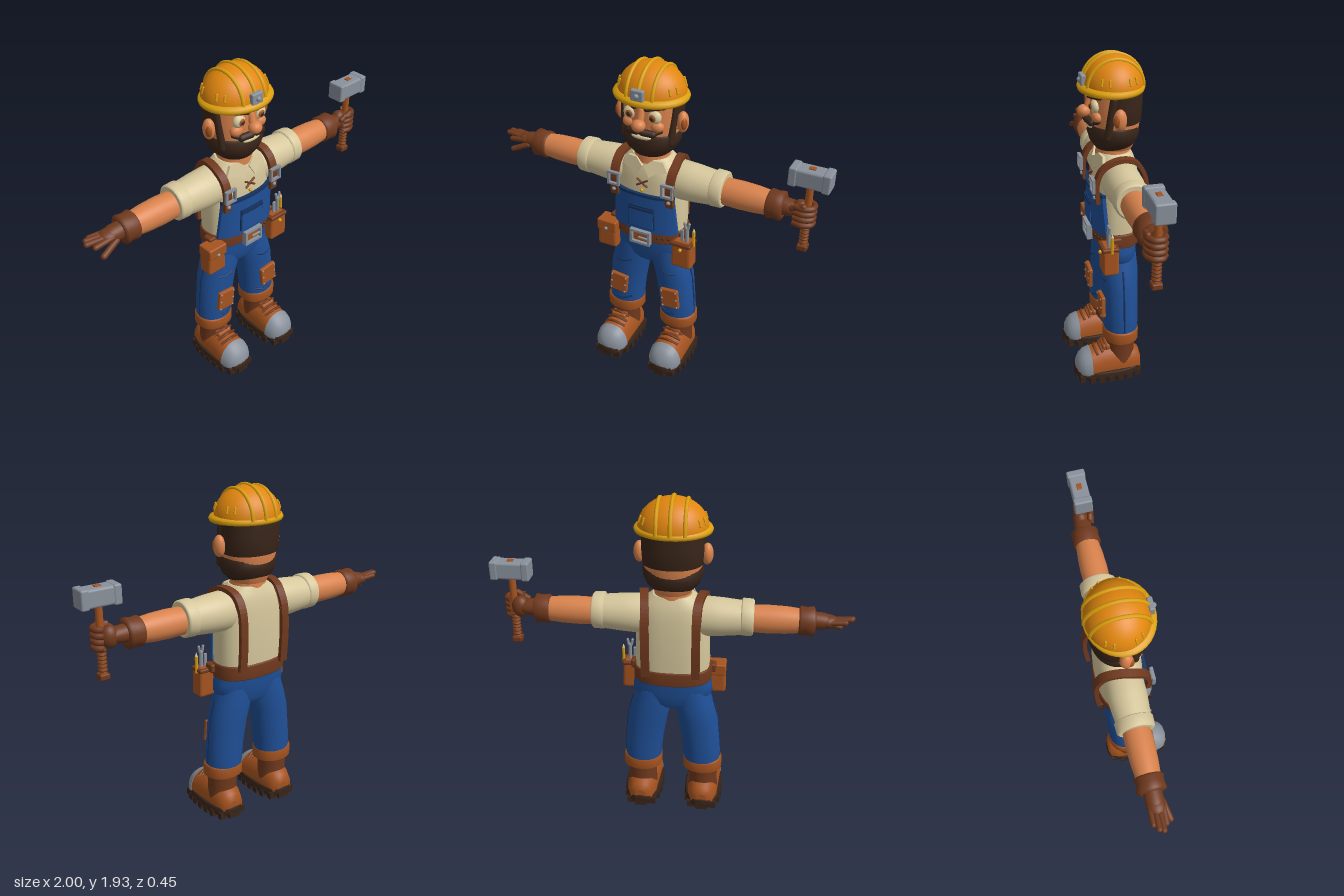
import * as THREE from 'three';
import { RoundedBoxGeometry } from 'three/addons/geometries/RoundedBoxGeometry.js';

const paint = (name, color) => Object.assign(new THREE.MeshStandardMaterial({ color }), { name });
const V = (p) => new THREE.Vector3(...p);

// Skin over elliptical sections stacked along y; rows are [y, rx, rz, cx, cz], ascending
function loft(rows, n = 2, cz0 = 0, seg = 36) {
  const pos = [], idx = [];
  const ring = ([y, rx, rz, cx = 0, cz = cz0]) => {
    for (let j = 0; j < seg; j++) {
      const a = (j / seg) * Math.PI * 2, c = Math.cos(a), s = Math.sin(a);
      pos.push(cx + rx * Math.sign(c) * Math.abs(c) ** (2 / n), y, cz + rz * Math.sign(s) * Math.abs(s) ** (2 / n));
    }
  };
  rows.forEach(ring);
  for (let i = 0; i < rows.length - 1; i++) for (let j = 0; j < seg; j++) {
    const a = i * seg + j, c = i * seg + ((j + 1) % seg), b = a + seg, d = c + seg;
    idx.push(a, b, c, c, b, d);
  }
  [rows[0], rows[rows.length - 1]].forEach((r, top) => {
    const start = pos.length / 3;
    ring(r);
    pos.push(r[3] ?? 0, r[0], r[4] ?? cz0);
    for (let j = 0; j < seg; j++) {
      const k = start + j, l = start + ((j + 1) % seg);
      idx.push(start + seg, top ? l : k, top ? k : l);
    }
  });
  const g = new THREE.BufferGeometry();
  g.setAttribute('position', new THREE.Float32BufferAttribute(pos, 3));
  g.setIndex(idx);
  g.computeVertexNormals();
  return g;
}

function bend(g, rule) {
  const p = g.attributes.position, v = new THREE.Vector3();
  for (let i = 0; i < p.count; i++) { rule(v.fromBufferAttribute(p, i)); p.setXYZ(i, v.x, v.y, v.z); }
  g.computeVertexNormals();
  return g;
}
function capsule(a, b, r) {
  const A = V(a), d = V(b).sub(A), g = new THREE.CapsuleGeometry(r, d.length(), 6, 14);
  g.applyQuaternion(new THREE.Quaternion().setFromUnitVectors(new THREE.Vector3(0, 1, 0), d.clone().normalize()));
  const m = A.addScaledVector(d, 0.5);
  return g.translate(m.x, m.y, m.z);
}
const ball = (p, r) => new THREE.SphereGeometry(1, 24, 16).scale(...(r.length ? r : [r, r, r])).translate(...p);
const box = (p, s, r = 0.008) => new RoundedBoxGeometry(...s, 2, r).translate(...p);
const tube = (pts, r) => new THREE.TubeGeometry(new THREE.CatmullRomCurve3(pts.map(V)), 32, r, 8);
function frame(p, w, h, t, d) {
  const rect = (S, x, y) => new S().moveTo(-x, -y).lineTo(x, -y).lineTo(x, y).lineTo(-x, y).closePath();
  const s = rect(THREE.Shape, w / 2, h / 2);
  s.holes.push(rect(THREE.Path, w / 2 - t, h / 2 - t));
  return new THREE.ExtrudeGeometry(s, { depth: d, bevelEnabled: false }).translate(...p);
}

export function createModel() {
  const skin = paint('skin', 0xd9824c), cream = paint('cream cloth', 0xd6c79c), blue = paint('denim', 0x1f4f96),
    navy = paint('dark denim', 0x15325f), leather = paint('leather', 0xa5531f), dark = paint('dark leather', 0x70391d),
    hair = paint('dark brown', 0x392519), steel = paint('steel', 0x89919b), orange = paint('helmet orange', 0xe0860e),
    gold = paint('gold', 0xdb9f0c);
  const model = new THREE.Group(), body = new THREE.Group();
  body.name = 'worker'; body.position.x = -0.012; model.add(body);
  const add = (name, g, mat) => { const m = new THREE.Mesh(g, mat); m.name = name; body.add(m); return m; };

  // Torso, pelvis, neck
  add('shirt', loft([[0.88, 0.205, 0.125], [1, 0.211, 0.13], [1.15, 0.206, 0.13], [1.25, 0.2, 0.125], [1.31, 0.185, 0.118],
    [1.35, 0.155, 0.105], [1.385, 0.11, 0.09]], 2.5, -0.058), cream);
  add('trouserSeat', loft([[0.69, 0.1, 0.08], [0.72, 0.19, 0.1], [0.78, 0.228, 0.11], [0.83, 0.226, 0.115], [0.9, 0.21, 0.122]], 2.3, -0.06), blue);
  add('belt', loft([[0.86, 0.216, 0.13], [0.868, 0.222, 0.137], [0.937, 0.222, 0.137], [0.945, 0.216, 0.13]], 2.4, -0.06), dark);
  add('neck', loft([[1.34, 0.105, 0.1], [1.44, 0.1, 0.095]], 2, -0.055), skin);

  // Bib curved round the chest, with hem and pocket
  const onChest = (g) => bend(g, (v) => {
    v.x *= 1 - 0.45 * Math.max(0, v.y - 0.94);
    v.z += -0.058 + 0.135 * (1 - Math.min(1, Math.abs(v.x / 0.225)) ** 2.5) ** 0.4;
  });
  const chestPlate = (name, y, w, h, d, z, mat) => add(name, onChest(new THREE.BoxGeometry(w, h, d, 20, 4, 1).translate(0, y, z)), mat);
  chestPlate('bib', 1.06, 0.4, 0.245, 0.02, 0, blue);
  chestPlate('bibHem', 1.175, 0.404, 0.016, 0.024, 0.001, navy);
  chestPlate('pocketSeam', 1.035, 0.172, 0.14, 0.012, 0.011, navy);
  chestPlate('pocket', 1.033, 0.158, 0.124, 0.016, 0.013, blue);
  chestPlate('pocketHem', 1.088, 0.164, 0.016, 0.018, 0.014, navy);
  // Belt buckle, belt holes, shirt lacing
  add('beltBuckle', frame([0, 0.903, 0.08], 0.125, 0.09, 0.014, 0.03), steel);
  add('buckleLeather', box([0, 0.903, 0.08], [0.1, 0.07, 0.025]), leather);
  add('bucklePin', box([0.02, 0.903, 0.105], [0.06, 0.012, 0.012], 0.004), steel);
  for (const x of [0.095, 0.125, 0.155]) add('beltHole', ball([x, 0.903, 0.071 - (x - 0.095) * 0.35], 0.008), hair);
  for (const s of [-1, 1]) add('lace', capsule([-0.03 * s, 1.232, 0.075], [0.03 * s, 1.268, 0.07], 0.006), dark);
  add('shirtButton', ball([0, 1.205, 0.076], 0.01), gold);

  // Shoulder strap profile in the side plane
  const line = new THREE.CatmullRomCurve3([[0.06, 1.14], [0.066, 1.25], [0.04, 1.32], [-0.01, 1.355], [-0.08, 1.362], [-0.14, 1.34],
    [-0.185, 1.27], [-0.199, 1.15], [-0.197, 1.05], [-0.188, 0.93]].map(([z, y]) => new THREE.Vector3(z, y, 0)));
  const inner = line.getPoints(40), outer = inner.map((p, i) => {
    const t = line.getTangent(i / 40);
    return new THREE.Vector2(p.x + t.y * 0.024, p.y - t.x * 0.024);
  });
  const strapShape = new THREE.Shape([...inner.map((p) => new THREE.Vector2(p.x, p.y)), ...outer.reverse()]);

  for (const s of [-1, 1]) {
    const side = s > 0 ? 'left' : 'right', sided = (name, g, mat) => add(side + name, g, mat);
    // Straps, buckles, collar
    sided('Strap', bend(new THREE.ExtrudeGeometry(strapShape, { depth: 0.046, bevelEnabled: false }).rotateY(-Math.PI / 2)
      .translate(0.023 + s * 0.17, 0, 0), (v) => { v.x -= s * 0.03 * Math.min(1, Math.max(0, -v.z / 0.18)); }).toNonIndexed(), dark).geometry.computeVertexNormals();
    sided('StrapBuckle', frame([s * 0.165, 1.25, 0.09], 0.074, 0.082, 0.012, 0.018), steel);
    sided('StrapRivet', ball([s * 0.17, 1.175, 0.088], 0.012), steel);
    const wing = new THREE.Shape([[0.006, 1.35], [0.04, 1.29], [0.075, 1.315], [0.135, 1.325], [0.105, 1.38], [0.05, 1.385]]
      .map(([x, y]) => new THREE.Vector2(x * s, y)));
    sided('Collar', bend(new THREE.ExtrudeGeometry(wing, { depth: 0.016, bevelEnabled: false }),
      (v) => { v.z += 0.066 - (v.y - 1.29) * 0.3 - Math.abs(v.x) * 0.25; }), cream);

    // Sleeve, arm and glove cuff along the x axis
    const limb = (name, rows, mat, y = 1.25) => sided(name, loft(rows).rotateZ(-s * Math.PI / 2).translate(0, y, -0.06), mat);
    limb('Sleeve', [[0.11, 0.09, 0.09], [0.17, 0.113, 0.108], [0.27, 0.107, 0.106], [0.4, 0.094, 0.095]], cream, 1.252);
    limb('SleeveCuff', [[0.375, 0.094, 0.095], [0.382, 0.104, 0.105], [0.436, 0.102, 0.103], [0.444, 0.093, 0.093]], cream, 1.257);
    limb('Forearm', [[0.42, 0.076, 0.074], [0.53, 0.079, 0.077], [0.62, 0.076, 0.073], [0.71, 0.066, 0.064]], skin);
    limb('GloveCuff', [[0.685, 0.07, 0.07], [0.695, 0.082, 0.08], [0.73, 0.077, 0.075], [0.765, 0.083, 0.08], [0.775, 0.06, 0.06]], dark);
    limb('Wrist', [[0.76, 0.05, 0.05], [0.82, 0.045, 0.05], [0.85, 0.034, 0.042]], dark, 1.255);

    // Leg, cuff, knee patch, creases
    sided('Leg', loft([[0.28, 0.104, 0.095, s * 0.177], [0.36, 0.11, 0.1, s * 0.175], [0.45, 0.111, 0.1, s * 0.167], [0.6, 0.117, 0.104, s * 0.147],
      [0.7, 0.116, 0.108, s * 0.121], [0.8, 0.1, 0.1, s * 0.105]], 2.1, -0.062), blue);
    sided('TrouserCuff', loft([[0.25, 0.105, 0.092], [0.257, 0.115, 0.103], [0.317, 0.115, 0.103], [0.325, 0.105, 0.092]], 2.2, -0.06).translate(s * 0.18, 0, 0), leather);
    const patch = new THREE.Group();
    patch.name = side + 'KneePatch'; patch.position.set(s * 0.172, 0.482, 0.052); patch.rotation.z = s * 0.1;
    patch.add(new THREE.Mesh(box([0, 0, 0], [0.115, 0.13, 0.026]), leather));
    for (const x of [-1, 1]) for (const y of [-1, 0, 1]) patch.add(new THREE.Mesh(ball([x * 0.046, y * 0.052, 0.013], 0.006), steel));
    body.add(patch);
    const crease = (x0, y0, x1, y1, cx) => sided('Crease', tube([0, 0.5, 1].map((t) => {
      const x = x0 + (x1 - x0) * t;
      return [s * x, y0 + (y1 - y0) * t - 0.01 * Math.sin(t * 3.14), -0.06 + 0.104 * Math.sqrt(1 - ((x - cx) / 0.118) ** 2)];
    }), 0.005), navy);
    crease(0.09, 0.67, 0.2, 0.645, 0.135); crease(0.1, 0.375, 0.2, 0.36, 0.174);
    sided('SideSeam', tube([[s * 0.232, 0.72, -0.06], [s * 0.262, 0.6, -0.06], [s * 0.278, 0.45, -0.06], [s * 0.283, 0.33, -0.06]], 0.005), navy);

    // Boot: shaft, upper, toe cap, laces, treaded sole
    const fx = s * 0.185;
    sided('BootShaft', loft([[0.1, 0.088, 0.088], [0.18, 0.084, 0.084], [0.27, 0.09, 0.088]], 2, -0.058).translate(fx, 0, 0), dark);
    const shoe = (rows) => bend(loft(rows, 2.2).rotateX(Math.PI / 2), (v) => { v.y = Math.max(v.y + 0.065, 0.05); v.x += fx; });
    sided('BootUpper', shoe([[-0.18, 0.03, 0.04], [-0.168, 0.066, 0.085], [-0.12, 0.088, 0.12], [-0.03, 0.092, 0.14], [0.06, 0.096, 0.138], [0.13, 0.1, 0.118]]), leather);
    sided('ToeCap', shoe([[0.128, 0.103, 0.122], [0.165, 0.094, 0.108], [0.19, 0.078, 0.085], [0.208, 0.052, 0.055], [0.216, 0.015, 0.02]]), steel);
    sided('Tongue', box([fx, 0.205, 0.035], [0.1, 0.04, 0.05], 0.015), leather);
    [[0.19, 0.105], [0.205, 0.075], [0.225, 0.045]].forEach(([y, z]) => sided('BootLace',
      tube([[fx - 0.065, y - 0.02, z - 0.015], [fx, y + 0.008, z], [fx + 0.065, y - 0.02, z - 0.015]], 0.008), dark));
    sided('Sole', loft([[0.018, 0.105, 0.198], [0.03, 0.112, 0.204], [0.06, 0.112, 0.204], [0.07, 0.106, 0.198]], 2.6, 0.018).translate(fx, 0, 0), hair);
    for (let i = 0; i < 7; i++) for (const e of [-1, 1]) {
      const z = -0.15 + i * 0.056, w = 0.105 * (1 - Math.abs((z - 0.018) / 0.21) ** 2.6) ** (1 / 2.6);
      sided('Tread', new THREE.BoxGeometry(0.06, 0.042, 0.032).translate(fx + e * (w - 0.02), 0.021, z), hair);
    }
    for (const z of [-0.17, 0.205]) sided('EndTread', new THREE.BoxGeometry(0.07, 0.042, 0.03).translate(fx, 0.021, z), hair);

    // Tool pouch
    sided('Pouch', bend(box([0, 0, 0], [0.12, 0.17, 0.09], 0.016), (v) => { v.x *= 1 + v.y * -0.5; }).translate(s * 0.24, 0.828, 0.024), leather);
    sided('PouchFlap', box([s * 0.238, s > 0 ? 0.9 : 0.888, 0.026], [0.126, s > 0 ? 0.025 : 0.07, 0.1], 0.01), s > 0 ? dark : leather);
    sided('PouchStud', ball([s * 0.24, 0.872, 0.075], 0.011), s > 0 ? gold : steel);
    sided('PouchLoop', box([s * 0.215, 0.915, -0.02], [0.06, 0.05, 0.06], 0.01), dark);

    // Face and hair, one side at a time
    sided('Ear', ball([s * 0.182, 1.61, -0.048], [0.032, 0.06, 0.036]), skin);
    sided('EarInner', ball([s * 0.196, 1.61, -0.034], [0.017, 0.036, 0.024]), leather);
    sided('Sideburn', capsule([s * 0.15, 1.71, -0.022], [s * 0.138, 1.5, 0.008], 0.021), hair);
    sided('EyeWhite', ball([s * 0.072, 1.66, 0.062], [0.038, 0.037, 0.026]), cream);
    sided('Iris', ball([s * 0.069, 1.66, 0.081], [0.021, 0.021, 0.011]), leather);
    sided('Pupil', ball([s * 0.068, 1.66, 0.088], [0.012, 0.012, 0.008]), hair);
    sided('Eyebrow', capsule([s * 0.035, 1.708, 0.086], [s * 0.115, 1.718, 0.046], 0.014), hair);
    sided('Cheek', ball([s * 0.082, 1.603, 0.053], [0.038, 0.032, 0.03]), skin);
    sided('Moustache', capsule([s * 0.018, 1.575, 0.096], [s * 0.07, 1.567, 0.08], 0.02), hair);
    sided('MoustacheTip', capsule([s * 0.07, 1.567, 0.08], [s * 0.102, 1.58, 0.052], 0.013), hair);
  }

  // Head, beard, mouth, nose
  add('head', loft([[1.4, 0.1, 0.1], [1.46, 0.14, 0.125], [1.55, 0.157, 0.136], [1.65, 0.16, 0.14], [1.76, 0.158, 0.138]], 2.1, -0.06), skin);
  add('hair', loft([[1.555, 0.14, 0.11], [1.565, 0.162, 0.128], [1.66, 0.168, 0.133], [1.77, 0.166, 0.13]], 2.1, -0.076), hair);
  add('beard', loft([[1.392, 0.06, 0.07], [1.405, 0.1, 0.1], [1.445, 0.142, 0.128], [1.49, 0.163, 0.141], [1.535, 0.165, 0.136], [1.552, 0.15, 0.12]], 2.1, -0.053), hair);
  add('teeth', ball([0, 1.538, 0.079], [0.058, 0.015, 0.018]), cream);
  add('nose', ball([0, 1.615, 0.108], [0.038, 0.034, 0.037]), skin);
  add('noseBridge', capsule([0, 1.63, 0.09], [0, 1.69, 0.072], 0.02), skin);

  // Helmet
  add('helmetDome', new THREE.SphereGeometry(1, 40, 20, 0, Math.PI * 2, 0, Math.PI / 2).scale(0.19, 0.168, 0.165).translate(0, 1.748, -0.05), orange);
  add('helmetBrim', loft([[1.728, 0.19, 0.165], [1.732, 0.207, 0.178], [1.745, 0.212, 0.182], [1.758, 0.205, 0.176], [1.766, 0.185, 0.16]], 2, -0.04), gold);
  for (const x of [-0.075, 0, 0.075]) {
    const k = Math.sqrt(1 - (x / 0.19) ** 2);
    add('helmetRib', tube(Array.from({ length: 13 }, (_, i) => {
      const t = (i / 12) * Math.PI;
      return [x, 1.75 + 0.166 * k * Math.sin(t), -0.05 + 0.165 * k * Math.cos(t)];
    }), 0.011), gold);
  }
  for (const a of [0.35, 0.62, 2.52, 2.79]) for (const z of [-1, 1])
    add('helmetVent', capsule([0.184 * Math.cos(a), 1.79, -0.05 + z * 0.16 * Math.sin(a)], [0.175 * Math.cos(a), 1.82, -0.05 + z * 0.152 * Math.sin(a)], 0.006), gold);
  add('lampPlate', box([0, 1.79, 0.115], [0.074, 0.062, 0.03]), steel);
  add('lampStud', ball([0, 1.79, 0.13], 0.014), steel);

  // Open right hand
  [[-0.025, 0.95, 1.245], [-0.047, 0.985, 1.27], [-0.07, 0.975, 1.275], [-0.092, 0.945, 1.265]].forEach(([z, x, y]) =>
    add('rightFinger', capsule([-0.84, 1.258, z], [-x + 0.012, y, z - 0.004], 0.0155), dark));
  add('rightPalm', ball([-0.84, 1.255, -0.06], [0.06, 0.036, 0.05]), dark);
  add('rightThumb', capsule([-0.82, 1.235, -0.02], [-0.915, 1.195, 0], 0.017), dark);

  // Left fist and hammer
  const hx = 0.9, hz = -0.045;
  add('leftPalm', ball([0.86, 1.255, -0.06], [0.05, 0.062, 0.045]), dark);
  [1.205, 1.238, 1.271, 1.304].forEach((y) => add('leftFinger', tube([[0.84, y, -0.005], [0.89, y, 0.002], [0.93, y, -0.02], [0.932, y, -0.06], [0.9, y, -0.085]], 0.017), dark));
  add('leftThumb', capsule([0.83, 1.285, -0.01], [0.89, 1.315, 0.0], 0.017), dark);
  add('hammerHandle', new THREE.CylinderGeometry(0.019, 0.021, 0.4, 16).translate(hx, 1.245, hz), leather);
  for (let i = 0; i < 8; i++) add('gripRing', new THREE.TorusGeometry(0.02, 0.006, 8, 16).rotateX(Math.PI / 2).translate(hx, 1.08 + i * 0.021, hz), dark);
  add('hammerPommel', box([hx, 1.046, hz], [0.056, 0.034, 0.056]), dark);
  add('hammerHead', box([hx, 1.472, hz], [0.214, 0.098, 0.094], 0.014), steel);
  for (const s of [-1, 1]) add('hammerFace', box([hx + s * 0.088, 1.472, hz], [0.044, 0.106, 0.102], 0.01), steel);
  add('handleWedge', box([hx, 1.52, hz], [0.036, 0.014, 0.028], 0.003), leather);

  // Wrench, screwdriver and pencil in the left pouch
  add('wrench', capsule([0.262, 0.9, 0.03], [0.26, 1.0, 0.03], 0.011), steel);
  for (const s of [-1, 1]) add('wrenchJaw', capsule([0.26 + s * 0.008, 1.0, 0.03], [0.26 + s * 0.014, 1.032, 0.03], 0.008), steel);
  add('chisel', box([0.232, 0.94, 0.03], [0.02, 0.09, 0.012], 0.004), steel);
  add('pencil', new THREE.CylinderGeometry(0.009, 0.009, 0.1, 6).translate(0.298, 0.935, 0.02), gold);
  add('pencilTip', new THREE.ConeGeometry(0.009, 0.025, 6).translate(0.298, 0.997, 0.02), cream);
  return model;
}
